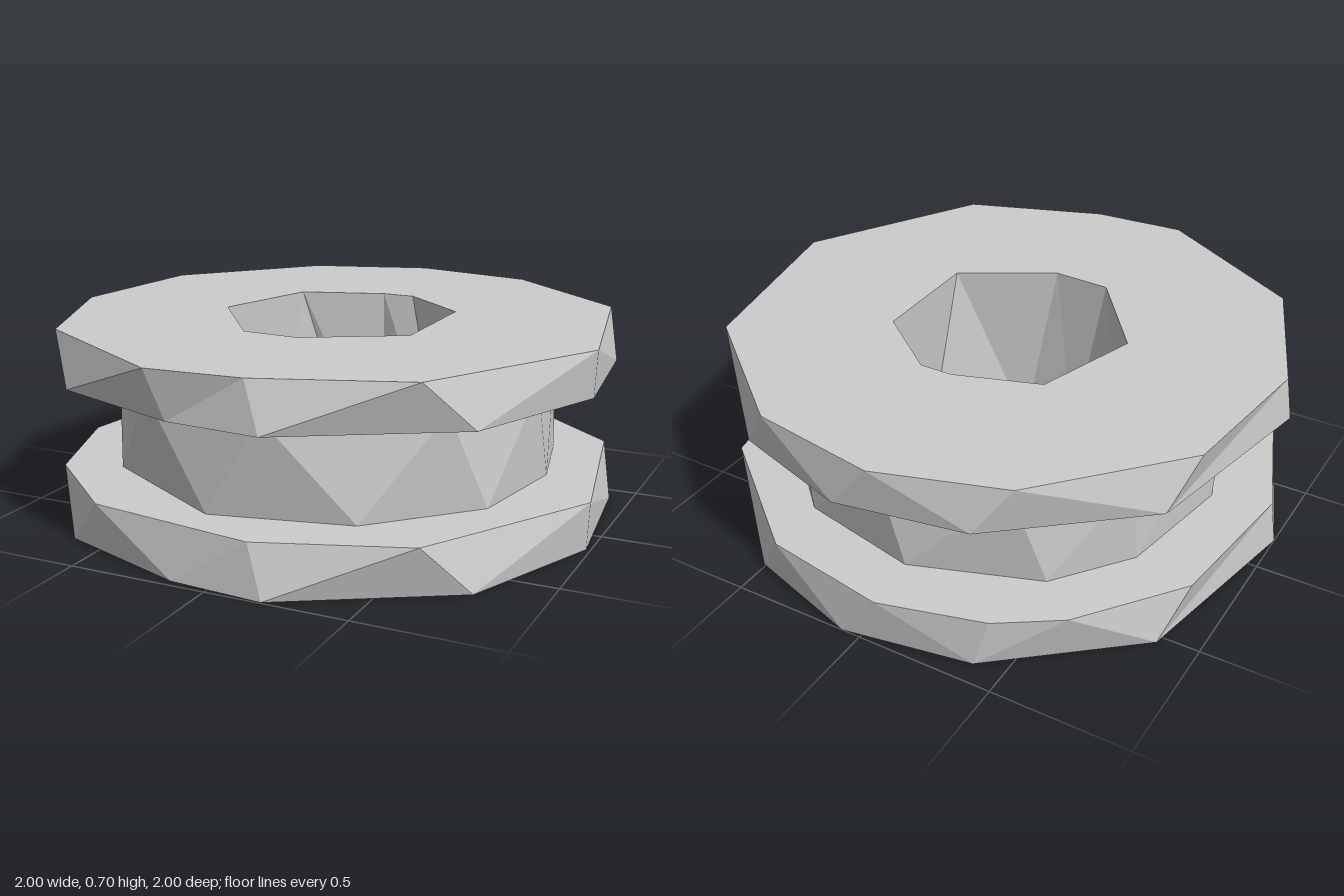
import * as THREE from 'three';

// Outlines as [x, z] corners
const flangeUpper = [[-0.07, -1], [0.39, -0.92], [0.86, -0.53], [1, 0.17], [0.64, 0.79], [0.14, 0.97],
  [-0.2, 0.995], [-0.77, 0.66], [-0.985, 0.14], [-0.92, -0.41], [-0.51, -0.86]];
const flangeLower = [[-0.07, -1], [0.39, -0.92], [0.86, -0.53], [1, 0.17], [0.64, 0.79], [0.14, 0.97],
  [-0.48, 0.88], [-0.82, 0.58], [-0.985, 0.14], [-0.92, -0.41], [-0.65, -0.76], [-0.44, -0.9]];
const hubOutline = [[0.1, 0.81], [0.62, 0.51], [0.78, 0.08], [0.7, -0.37], [0.5, -0.63], [0.05, -0.79],
  [-0.4, -0.69], [-0.7, -0.4], [-0.78, -0.05], [-0.71, 0.37], [-0.39, 0.7]];
const holeOutline = [[0, -0.4], [0.12, -0.4], [0.37, -0.2], [0.37, 0.23], [0.04, 0.42], [-0.17, 0.41],
  [-0.42, 0.08], [-0.3, -0.3]];

const mirror = (loop) => loop.map(([x, z]) => [-x, z]);
const angle = ([x, z]) => Math.atan2(x, z);

// Faceted wall stitched between two unlike outlines, corner by corner round the axis
function band(low, y0, high, y1, inward = false) {
  const sort = (loop) => [...loop].sort((p, q) => angle(p) - angle(q));
  const a = sort(low), b = sort(high), pos = [];
  const at = (loop, i, y) => [loop[i % loop.length][0], y, loop[i % loop.length][1]];
  const turn = (loop, i) => angle(loop[i % loop.length]) + (i >= loop.length ? Math.PI * 2 : 0);
  let i = 0, j = 0;
  while (i < a.length || j < b.length) {
    const stepLow = j >= b.length || (i < a.length && turn(a, i + 1) < turn(b, j + 1));
    const tri = stepLow
      ? [at(a, i, y0), at(a, i + 1, y0), at(b, j, y1)]
      : [at(a, i, y0), at(b, j + 1, y1), at(b, j, y1)];
    if (stepLow) i++; else j++;
    if (inward) tri.reverse();
    pos.push(...tri.flat());
  }
  const g = new THREE.BufferGeometry();
  g.setAttribute('position', new THREE.Float32BufferAttribute(pos, 3));
  g.computeVertexNormals();
  return g;
}

// Flat ring at height y, facing up or down
function ring(outer, inner, y, up) {
  const s = up ? -1 : 1;
  const points = (loop) => loop.map(([x, z]) => new THREE.Vector2(x, s * z));
  const shape = new THREE.Shape(points(outer));
  shape.holes.push(new THREE.Path(points(inner)));
  return new THREE.ShapeGeometry(shape).rotateX(s * Math.PI / 2).translate(0, y, 0);
}

export function createModel() {
  const model = new THREE.Group();
  const material = new THREE.MeshStandardMaterial({ color: 0xcccccc, flatShading: true });
  const add = (parent, name, geometry) => {
    const mesh = new THREE.Mesh(geometry, material);
    mesh.name = name;
    parent.add(mesh);
  };

  const base = mirror(flangeUpper);
  const holeBase = mirror(holeOutline);
  const hubBase = mirror(hubOutline);

  // Upper and lower flanges
  const flanges = [
    ['upperFlange', flangeUpper, 0.53, 0.7, hubOutline, holeOutline],
    ['lowerFlange', flangeLower, 0, 0.18, holeBase, hubBase],
  ];
  for (const [name, top, y0, y1, innerLow, innerHigh] of flanges) {
    const flange = new THREE.Group();
    flange.name = name;
    add(flange, 'rim', band(base, y0, top, y1));
    add(flange, 'topFace', ring(top, innerHigh, y1, true));
    add(flange, 'bottomFace', ring(base, innerLow, y0, false));
    model.add(flange);
  }

  // Hub between the flanges, and the bore through the whole spool
  add(model, 'hub', band(hubBase, 0.18, hubOutline, 0.53));
  add(model, 'bore', band(holeBase, 0, holeOutline, 0.7, true));

  return model;
}
